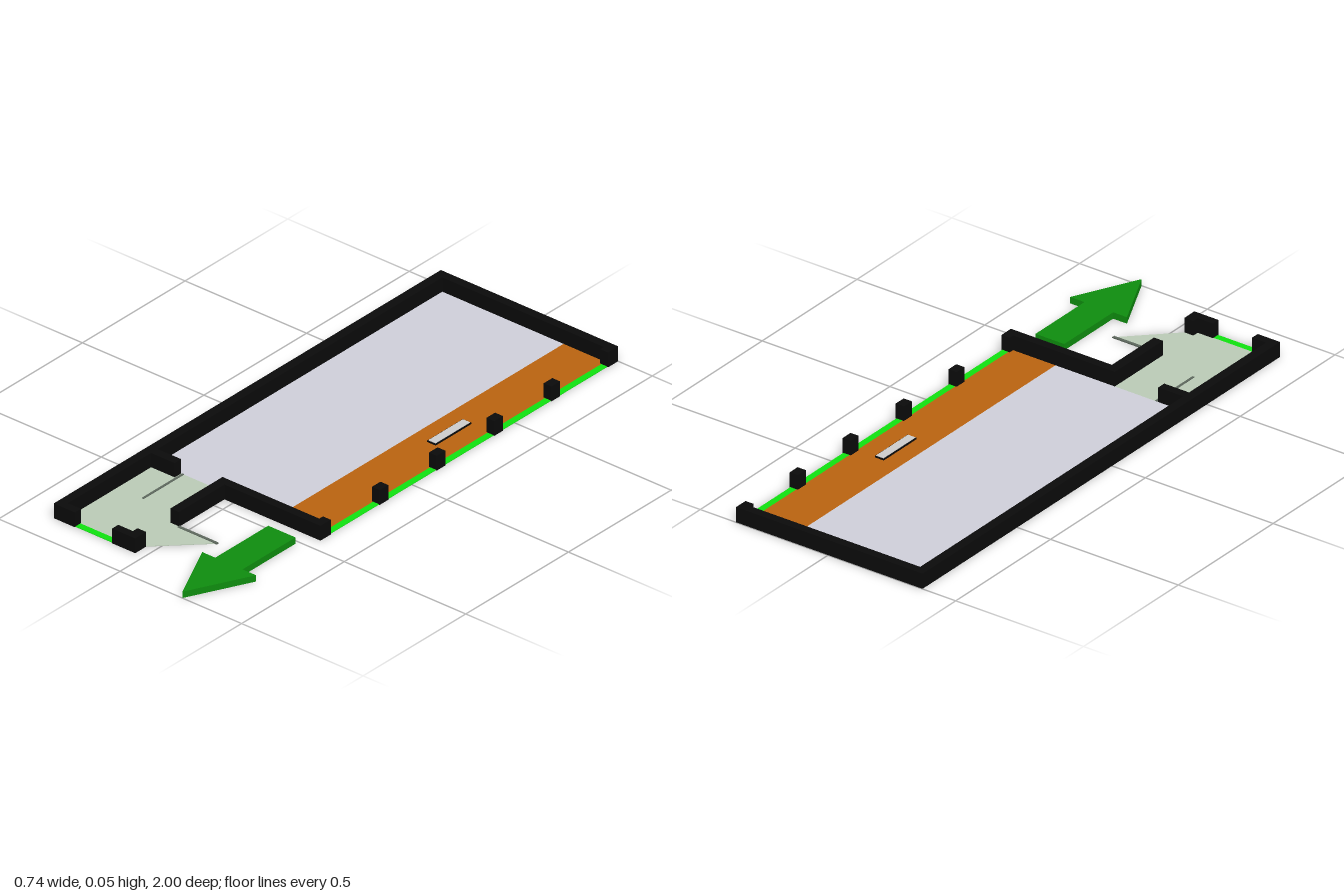
import * as THREE from 'three';

const WALL_H = 0.054;
const FLOOR_H = 0.002;

const mat = (color) => new THREE.MeshStandardMaterial({ color });
const mats = {
  wall: mat(0x0a0a0a),
  floor: mat(0xcdcdd8),
  walkway: mat(0xb8620f),
  annex: mat(0xb9c9b5),
  glass: mat(0x10e010),
  arrow: mat(0x0e8c0e),
  door: mat(0x5c665c),
  plate: mat(0xffffff),
};

// Box given by its extents on plan and its height range
function slab(name, material, x0, x1, z0, z1, y1, y0 = 0) {
  const mesh = new THREE.Mesh(new THREE.BoxGeometry(x1 - x0, y1 - y0, z1 - z0), material);
  mesh.position.set((x0 + x1) / 2, (y0 + y1) / 2, (z0 + z1) / 2);
  mesh.name = name;
  return mesh;
}

// Plan outline of [x, z] points raised from the ground to height h
function plan(name, material, points, h) {
  const shape = new THREE.Shape(points.map(([x, z]) => new THREE.Vector2(x, -z)));
  const geometry = new THREE.ExtrudeGeometry(shape, { depth: h, bevelEnabled: false });
  geometry.rotateX(-Math.PI / 2);
  const mesh = new THREE.Mesh(geometry, material);
  mesh.name = name;
  return mesh;
}

export function createModel() {
  const model = new THREE.Group();
  model.name = 'floorPlan';

  // Continuous wall: back, long side and the front corner of the annex
  model.add(plan('outerWall', mats.wall, [
    [0.36, -1], [-0.37, -1], [-0.37, 0.885], [-0.283, 0.885], [-0.283, 0.855],
    [-0.337, 0.855], [-0.337, 0.45], [-0.24, 0.45], [-0.24, 0.418], [-0.337, 0.418],
    [-0.337, -0.968], [0.328, -0.968], [0.328, -0.95], [0.36, -0.95],
  ], WALL_H));

  // Front wall with the annex return and a thickened corner post
  model.add(plan('frontWall', mats.wall, [
    [-0.07, 0.418], [0.328, 0.418], [0.328, 0.4], [0.36, 0.4], [0.36, 0.45],
    [-0.035, 0.45], [-0.035, 0.672], [-0.07, 0.672],
  ], WALL_H));

  // Annex corner pier
  model.add(plan('annexCorner', mats.wall, [
    [-0.035, 0.832], [-0.07, 0.832], [-0.07, 0.855], [-0.13, 0.855],
    [-0.13, 0.885], [-0.035, 0.885],
  ], WALL_H));

  // Window posts with glazing strips along the open side
  const posts = [-0.696, -0.417, -0.137, 0.141];
  for (const z of posts) {
    model.add(slab('windowPost', mats.wall, 0.328, 0.36, z - 0.021, z + 0.021, WALL_H));
  }
  const stops = [-0.971, ...posts, 0.421];
  for (let i = 0; i < stops.length - 1; i++) {
    model.add(slab('sideWindow', mats.glass, 0.333, 0.357,
      stops[i] + 0.021, stops[i + 1] - 0.021, FLOOR_H));
  }
  model.add(slab('annexWindow', mats.glass, -0.283, -0.13, 0.858, 0.882, FLOOR_H));

  // Floors
  model.add(slab('mainFloor', mats.floor, -0.337, 0.162, -0.968, 0.418, FLOOR_H));
  model.add(slab('walkwayFloor', mats.walkway, 0.162, 0.333, -0.968, 0.418, FLOOR_H));
  model.add(plan('annexFloor', mats.annex, [
    [-0.337, 0.45], [-0.24, 0.45], [-0.24, 0.418], [-0.07, 0.418], [-0.07, 0.672],
    [0.127, 0.672], [-0.035, 0.832], [-0.07, 0.832], [-0.07, 0.858], [-0.337, 0.858],
  ], FLOOR_H));

  // Open door leaves
  model.add(slab('innerDoor', mats.door, -0.236, -0.228, 0.418, 0.615, 0.004, -0.0));
  model.add(slab('outerDoor', mats.door, -0.035, 0.127, 0.67, 0.68, 0.004));

  // Blank sign plate with a dark rim
  model.add(slab('signRim', mats.wall, 0.225, 0.26, -0.403, -0.229, 0.007));
  model.add(slab('signPlate', mats.plate, 0.228, 0.257, -0.4, -0.232, 0.009, -0.0005));

  // Direction arrow
  model.add(plan('arrow', mats.arrow, [
    [0.2, 0.515], [0.312, 0.515], [0.312, 0.773], [0.368, 0.773],
    [0.257, 1], [0.146, 0.773], [0.2, 0.773],
  ], 0.023));

  return model;
}
